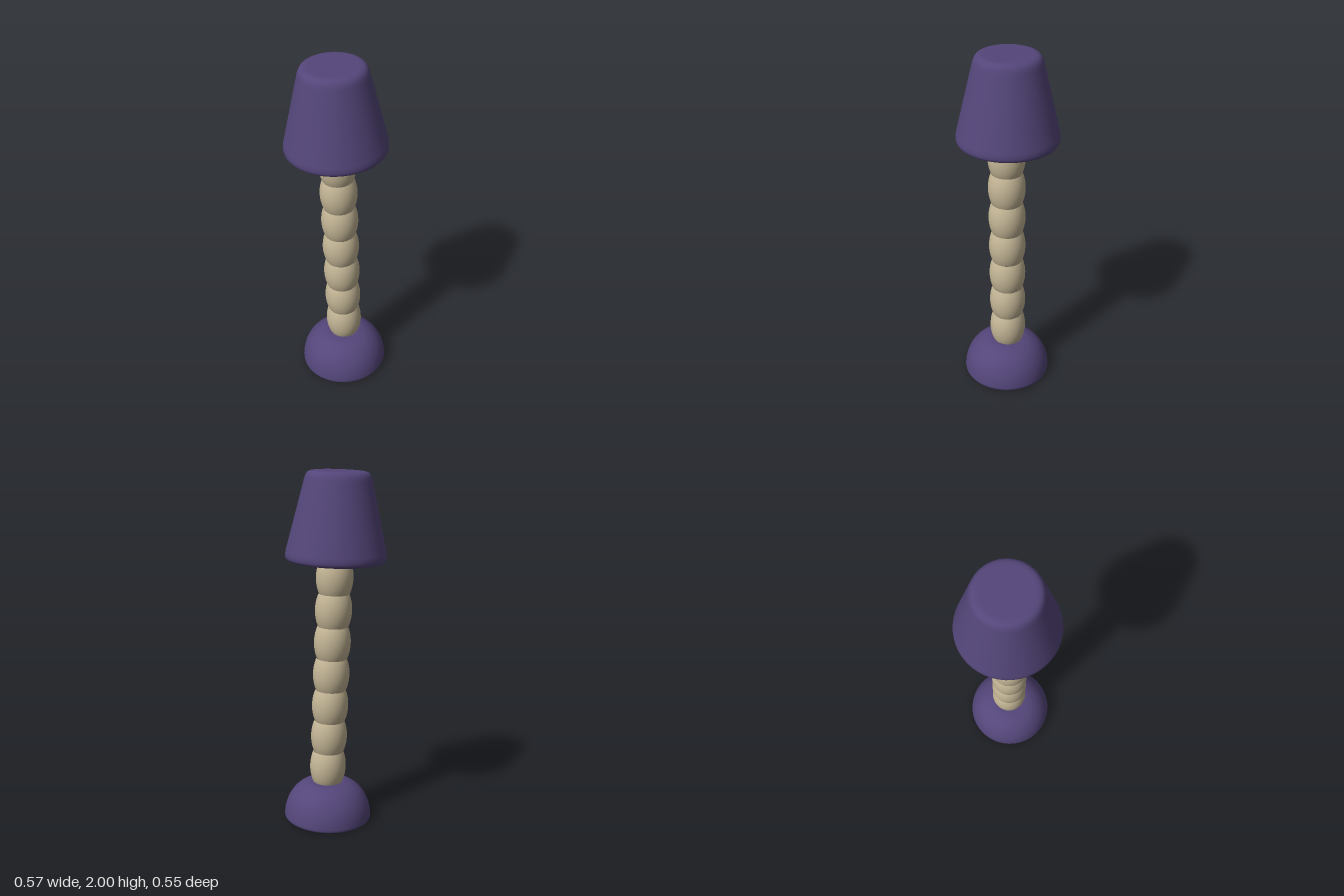
import * as THREE from 'three';

const purple = new THREE.MeshStandardMaterial({ color: 0x54467a });
purple.name = 'purple';
const tan = new THREE.MeshStandardMaterial({ color: 0xc4b696 });
tan.name = 'tan';

const LEAN_X = -0.015, LEAN_Z = 0.028;

function add(parent, name, geometry, material) {
  const mesh = new THREE.Mesh(geometry, material);
  mesh.name = name;
  parent.add(mesh);
  return mesh;
}

// Slightly leaning group whose origin sits at the given point
function leaning(parent, name, x, y, z) {
  const g = new THREE.Group();
  g.name = name;
  g.position.set(x, y, z);
  g.rotation.set(LEAN_X, 0, LEAN_Z);
  parent.add(g);
  return g;
}

export function createModel() {
  const model = new THREE.Group();
  model.name = 'tableLamp';

  // Domed foot with a flat underside
  const foot = leaning(model, 'foot', 0.032, 0.009, 0.027);
  const dome = new THREE.Path();
  dome.moveTo(0.243, 0);
  dome.quadraticCurveTo(0.251, 0.002, 0.25, 0.02);
  dome.bezierCurveTo(0.245, 0.12, 0.18, 0.208, 0.09, 0.214);
  dome.lineTo(0, 0.215);
  add(foot, 'footDome', new THREE.LatheGeometry(dome.getPoints(12), 48), purple);
  const underside = add(foot, 'footUnderside', new THREE.CircleGeometry(0.243, 48), purple);
  underside.rotation.x = Math.PI / 2;

  // Stem of seven stacked beads, each a band of a stretched sphere
  const cut = 0.97;
  const band = new THREE.SphereGeometry(1, 40, 14, 0, Math.PI * 2, cut, Math.PI - 2 * cut);
  band.scale(0.103, 0.163, 0.103);
  const stem = new THREE.Group();
  stem.name = 'stem';
  model.add(stem);
  for (let i = 0; i < 7; i++) {
    const t = i / 6;
    const bead = add(stem, 'bead' + (i + 1), band, tan);
    bead.position.set(0.031 - 0.039 * t, 0.322 + 1.101 * t, 0.02 - 0.008 * t);
    bead.rotation.set(LEAN_X / 2, 0, LEAN_Z);
  }

  // Tapered shade with rounded rims, closed at both ends
  const shade = leaning(model, 'shade', -0.011, 1.512, 0.003);
  const wall = new THREE.Path();
  wall.moveTo(0, 0);
  wall.lineTo(0.245, 0);
  wall.lineTo(0.25, 0.0005);
  wall.bezierCurveTo(0.272, 0.003, 0.282, 0.012, 0.274, 0.055);
  wall.lineTo(0.186, 0.425);
  wall.bezierCurveTo(0.179, 0.455, 0.172, 0.481, 0.14, 0.483);
  wall.lineTo(0.13, 0.484);
  wall.lineTo(0, 0.484);
  add(shade, 'shadeBody', new THREE.LatheGeometry(wall.getPoints(10), 48), purple);

  return model;
}
